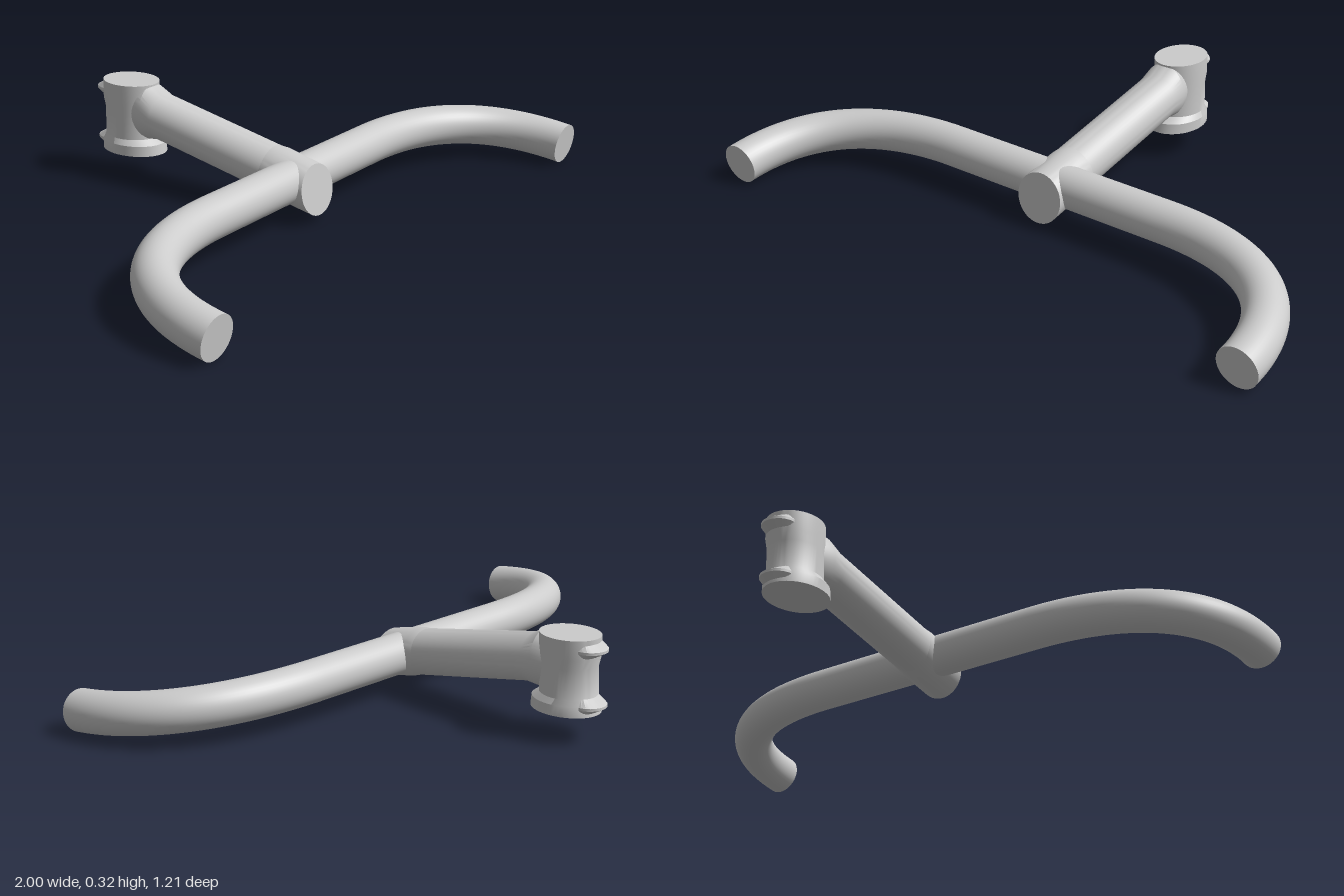
import * as THREE from 'three';
import { toCreasedNormals } from 'three/addons/utils/BufferGeometryUtils.js';

const material = new THREE.MeshStandardMaterial({ color: 0xcccccc });

// Closed skin over a row of rings; place(ring, cos, sin) returns a point
function loft(rings, place, sides = 48) {
  const pos = [], index = [], n = sides, last = rings.length - 1;
  for (const ring of rings)
    for (let j = 0; j < n; j++) {
      const a = (j / n) * Math.PI * 2;
      pos.push(...place(ring, Math.cos(a), Math.sin(a)));
    }
  pos.push(...place(rings[0], 0, 0), ...place(rings[last], 0, 0));
  const first = rings.length * n;
  for (let j = 0; j < n; j++) {
    const k = (j + 1) % n;
    for (let i = 0; i < last; i++) {
      const a = i * n + j, b = i * n + k;
      index.push(a, a + n, b, b, a + n, b + n);
    }
    index.push(first, j, k, first + 1, last * n + k, last * n + j);
  }
  const geo = new THREE.BufferGeometry();
  geo.setAttribute('position', new THREE.Float32BufferAttribute(pos, 3));
  geo.setIndex(index);
  return toCreasedNormals(geo, 0.5);
}

function add(group, name, geometry) {
  const mesh = new THREE.Mesh(geometry, material);
  mesh.name = name;
  group.add(mesh);
  return mesh;
}

export function createModel() {
  const model = new THREE.Group();
  model.name = 'handlebarAndStem';

  // Handlebar: straight centre with both ends swept forward in a tilted plane
  const r = 0.065;
  const at = (x, z) => new THREE.Vector3(x, 0.125 - (z - 0.17) * 0.133, z);
  const bend = (s) => [at(s * 0.935, 0.598), at(s * 0.935, 0.35), at(s * 0.77, 0.17), at(s * 0.4, 0.17)];
  const path = new THREE.CurvePath();
  path.add(new THREE.CubicBezierCurve3(...bend(-1)));
  path.add(new THREE.LineCurve3(at(-0.4, 0.17), at(0.4, 0.17)));
  path.add(new THREE.CubicBezierCurve3(...bend(1).reverse()));
  add(model, 'handlebar', new THREE.TubeGeometry(path, 140, r, 40, false));
  const forward = at(0, 1).sub(at(0, 0)).normalize();
  for (const [side, s] of [['left', 1], ['right', -1]]) {
    const cap = add(model, side + 'BarEnd', new THREE.CircleGeometry(r, 40));
    cap.position.copy(at(s * 0.935, 0.598));
    cap.quaternion.setFromUnitVectors(new THREE.Vector3(0, 0, 1), forward);
  }

  // Stem, front to back: [z, y, rx, ry, lean]
  const stemPoint = ([z, y, rx, ry, lean], c, s) => [c * rx, y + s * ry, z - s * ry * lean];
  add(model, 'barClamp', loft([
    [0.25, 0.105, 0.08, 0.078, 0.16],
    [0.125, 0.13, 0.08, 0.08, 0.1],
    [0.085, 0.138, 0.077, 0.074, 0.1],
  ], stemPoint));
  add(model, 'stemTube', loft([
    [0.12, 0.132, 0.077, 0.074, 0],
    [-0.345, 0.22, 0.077, 0.074, 0],
    [-0.39, 0.23, 0.077, 0.09, 0],
    [-0.44, 0.23, 0.06, 0.085, 0],
  ], stemPoint));

  // Steerer clamp, bottom to top: [y, z, rx, rz]
  const clampPoint = ([y, z, rx, rz], c, s) => [c * rx, y, z + s * rz];
  add(model, 'steererClamp', loft([
    [0.092, -0.468, 0.088, 0.113],
    [0.125, -0.469, 0.088, 0.109],
    [0.142, -0.477, 0.078, 0.092],
    [0.23, -0.477, 0.078, 0.09],
    [0.262, -0.479, 0.08, 0.097],
    [0.321, -0.479, 0.08, 0.097],
  ], clampPoint));

  // Wedge-shaped clamp bolts at the back
  for (const [name, y] of [['lowerBolt', 0.12], ['upperBolt', 0.287]])
    add(model, name, loft([
      [y - 0.026, -0.55, 0.04, 0.015],
      [y - 0.004, -0.55, 0.054, 0.055],
      [y + 0.004, -0.55, 0.054, 0.055],
      [y + 0.026, -0.55, 0.04, 0.015],
    ], clampPoint, 24));

  return model;
}
